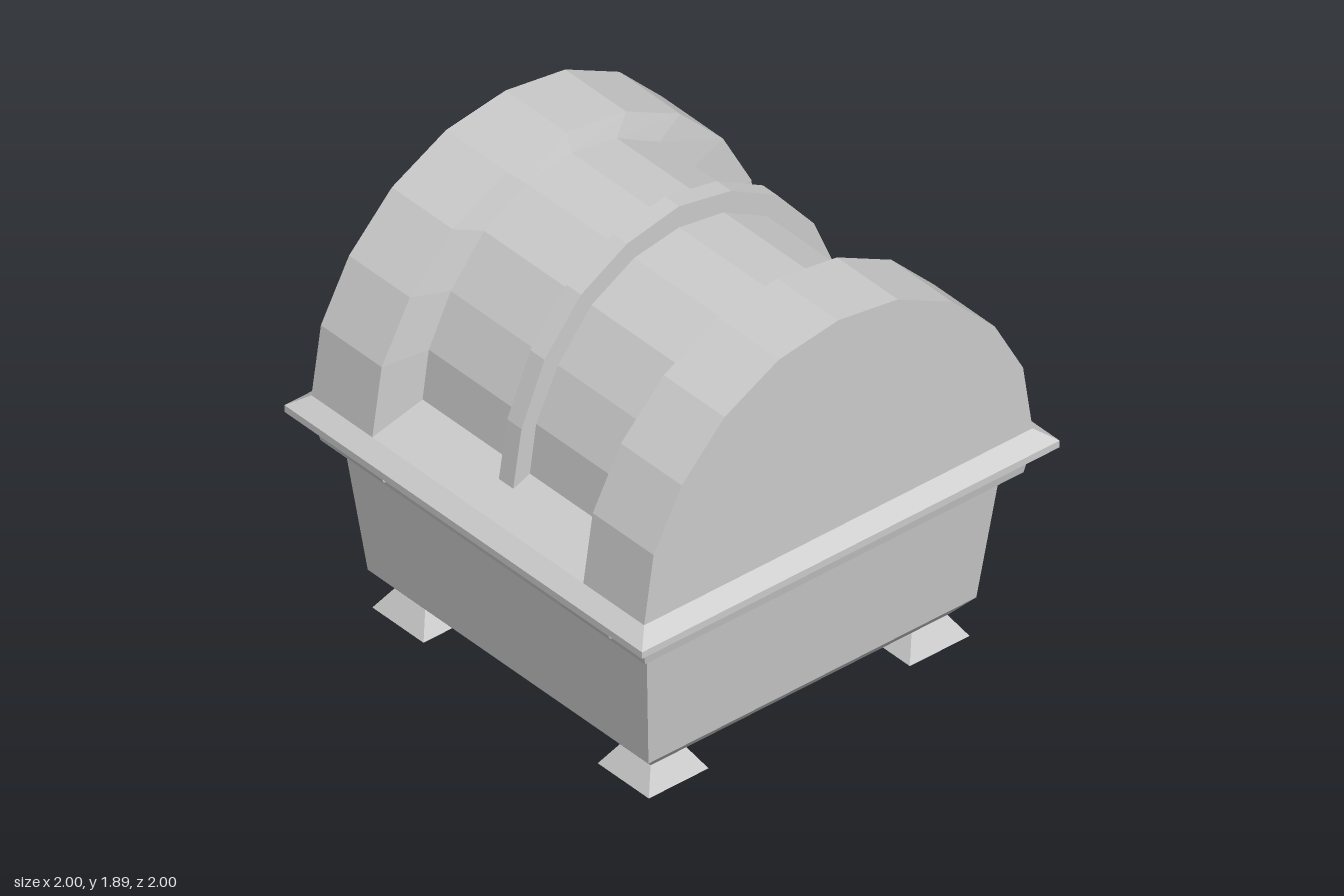
import * as THREE from 'three';

const grey = () => new THREE.MeshStandardMaterial({ color: 0xcccccc });

// Flat-shaded solid through a stack of rings, counter-clockwise about the stacking axis
function loft(rings) {
  const pos = [];
  const tri = (...pts) => pts.forEach((p) => pos.push(...p));
  const n = rings[0].length;
  for (let i = 0; i < rings.length - 1; i++) {
    for (let j = 0; j < n; j++) {
      const k = (j + 1) % n;
      const a = rings[i][j], b = rings[i][k], c = rings[i + 1][k], d = rings[i + 1][j];
      tri(a, b, c);
      tri(a, c, d);
    }
  }
  const first = rings[0], last = rings[rings.length - 1];
  for (let j = 1; j < n - 1; j++) {
    tri(first[0], first[j + 1], first[j]);
    tri(last[0], last[j], last[j + 1]);
  }
  const geo = new THREE.BufferGeometry();
  geo.setAttribute('position', new THREE.Float32BufferAttribute(pos, 3));
  geo.computeVertexNormals();
  return geo;
}

const square = ([y, s]) => [[-s, y, s], [s, y, s], [s, y, -s], [-s, y, -s]];

// Mirrors half an arch (bottom right up to the apex) into a closed ring of [x, y]
const arch = (half) => [...half, ...half.slice(0, -1).reverse().map(([x, y]) => [-x, y])];
const atZ = (ring, z) => ring.map(([x, y]) => [x, y, z]);

export function createModel() {
  const model = new THREE.Group();
  const add = (name, geo, parent = model) => {
    const mesh = new THREE.Mesh(geo, grey());
    mesh.name = name;
    parent.add(mesh);
    return mesh;
  };

  // Tapered tub with its flared lip
  add('base', loft([[0.09, 0.715], [0.17, 0.785], [0.725, 0.845], [0.745, 0.907], [0.83, 0.923]].map(square)));

  // Bevelled rim of the lid
  add('lidRim', loft([[0.84, 0.97], [0.865, 1], [0.895, 1], [0.945, 0.93]].map(square)));

  // Lid: tall end arches stepping down to a narrower barrel with sloping side ledges
  const edge = [0.93, 0.945];
  const tall = arch([edge, edge, [0.885, 1.24], [0.75, 1.49], [0.545, 1.7], [0.285, 1.835], [0, 1.877]]);
  const low = arch([edge, [0.715, 1.03], [0.685, 1.24], [0.58, 1.455], [0.42, 1.65], [0.215, 1.765], [0, 1.8]]);
  const stepRing = (side) => low.map(([x, y], i) =>
    [x, y, side * (i === 0 || i === low.length - 1 ? 0.59 : 0.56)]);
  add('lid', loft([
    atZ(tall, -0.93), atZ(tall, -0.59), stepRing(-1),
    stepRing(1), atZ(tall, 0.59), atZ(tall, 0.93),
  ]));

  // Narrow band over the middle of the barrel
  const band = arch([[0.795, 1], [0.755, 1.25], [0.645, 1.51], [0.47, 1.72], [0.25, 1.845], [0, 1.895]]);
  add('centreBand', loft([atZ(band, -0.04), atZ(band, 0.04)]));

  // Flared feet
  const feet = new THREE.Group();
  feet.name = 'feet';
  model.add(feet);
  for (const x of [-0.63, 0.62]) {
    for (const z of [-0.63, 0.63]) {
      add('foot', loft([[0, 0.143], [0.1, 0.08]].map(square)), feet).position.set(x, 0, z);
    }
  }

  // Hinge barrels at the gap between base and lid
  for (const z of [-0.625, 0.64]) {
    const hinge = add('hinge', new THREE.CylinderGeometry(0.035, 0.035, 0.265, 8));
    hinge.rotation.x = Math.PI / 2;
    hinge.position.set(-0.935, 0.835, z);
  }

  // Bulging side plate lying against the wall
  const plate = new THREE.BoxGeometry(0.03, 0.355, 0.62, 1, 6, 16);
  const p = plate.attributes.position;
  for (let i = 0; i < p.count; i++) {
    if (p.getX(i) < 0) continue;
    const u = Math.abs(p.getZ(i)) / 0.31;
    const lower = 0.5 - p.getY(i) / 0.355;
    p.setX(i, 0.023 - (0.012 + 0.012 * lower) * u ** 4);
  }
  plate.computeVertexNormals();
  const sidePlate = add('sidePlate', plate);
  sidePlate.position.set(0.832, 0.517, 0);
  sidePlate.rotation.z = -0.145;

  return model;
}
